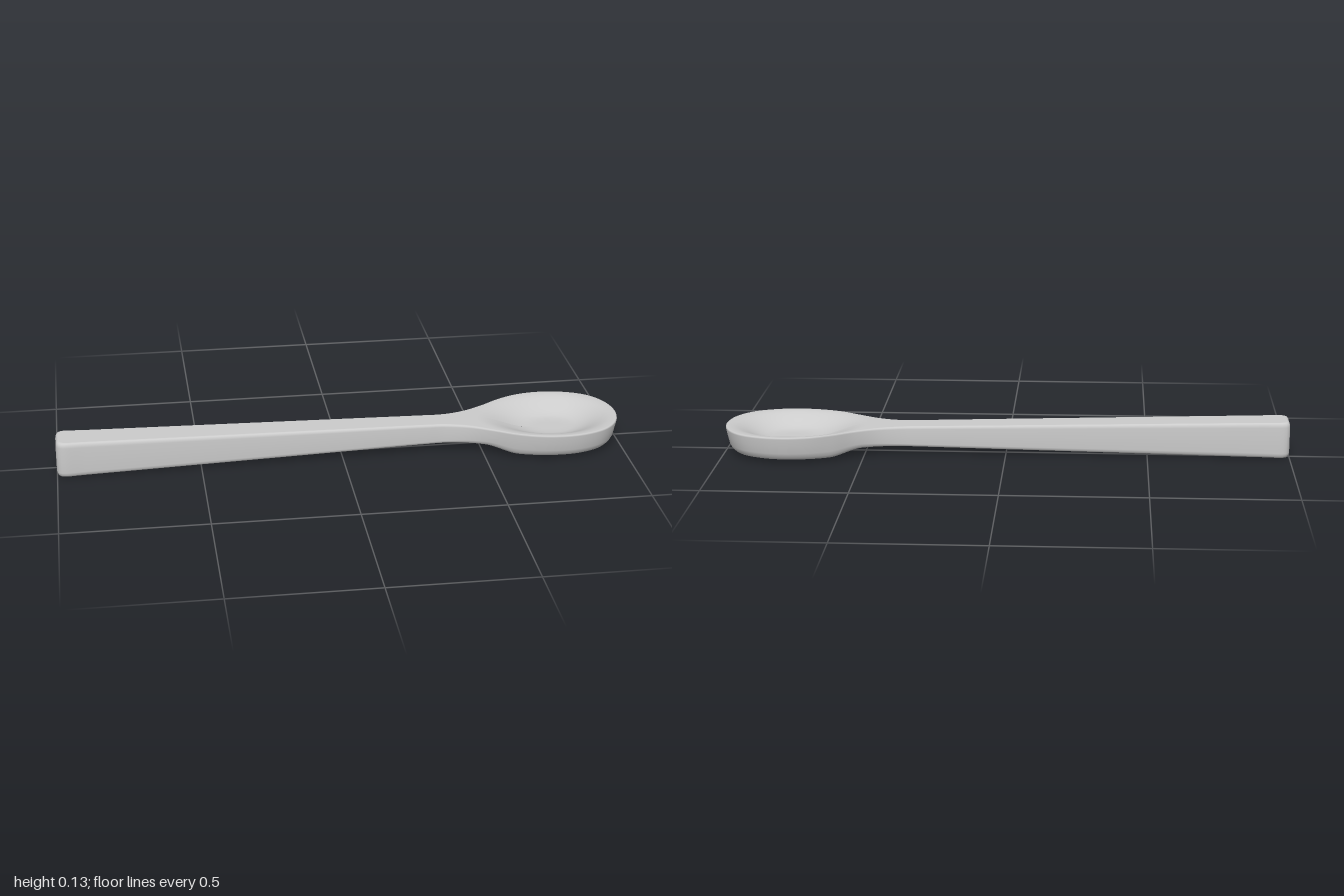
import * as THREE from 'three';

const { clamp, lerp, smoothstep, mapLinear } = THREE.MathUtils;

// Plan outline [x, z], running along the +z side and back along the -z side
const OUTLINE = [
  [-1, 0.03], [-1, 0.065], [-0.995, 0.08], [-0.98, 0.089], [-0.9, 0.087], [-0.5, 0.076],
  [0, 0.062], [0.3, 0.053], [0.37, 0.054], [0.45, 0.074], [0.53, 0.116], [0.6, 0.156],
  [0.68, 0.184], [0.765, 0.194], [0.85, 0.184], [0.93, 0.148], [0.98, 0.088], [1, 0],
  [0.98, -0.088], [0.93, -0.15], [0.85, -0.187], [0.765, -0.198], [0.68, -0.186],
  [0.6, -0.151], [0.53, -0.106], [0.45, -0.066], [0.37, -0.047], [0.3, -0.045],
  [0, -0.042], [-0.5, -0.037], [-0.9, -0.033], [-0.98, -0.033], [-0.995, -0.025], [-1, -0.01],
];

// Side profile from bottom to rim: [handle inset, handle height, bowl inset, bowl height]
const PROFILE = [
  [0, 0, 0, 0], [0.4, 0, 0.4, 0], [0.7, 0, 0.72, 0], [0.82, 0, 0.82, 0.01],
  [0.9, 0.02, 0.88, 0.06], [0.96, 0.06, 0.92, 0.16], [1, 0.14, 0.95, 0.32],
  [1, 0.5, 0.975, 0.62], [1, 0.87, 1, 0.93], [0.96, 0.95, 0.995, 0.98],
  [0.9, 0.985, 0.985, 1], [0.83, 1, 0.965, 1],
];
// Insets of the rings that close the top face
const TOP = [0.92, 0.86, 0.8, 0.73, 0.66, 0.58, 0.5, 0.4, 0.3, 0.15, 0];

const bowlBlend = x => smoothstep(x, 0.34, 0.62);
const underside = x => lerp(mapLinear(x, -1, 0.5, 0, 0.031), 0.009, smoothstep(x, 0.5, 0.62));
const topLine = x => x < 0.4 ? mapLinear(x, -1, 0.4, 0.13, 0.1) : mapLinear(x, 0.4, 1, 0.1, 0.096);

// Hollow of the bowl, egg-shaped and longer towards the handle
function hollow(x, z) {
  const dx = (x - 0.77) / (x < 0.77 ? 0.28 : 0.22);
  return 0.048 * (1 - smoothstep(Math.hypot(dx, z / 0.188), 0.3, 1));
}

// Point moved from the centre line of the spoon towards its outline
function inset(p, s) {
  const cx = clamp(p.x, -0.94, 0.77);
  const cz = cx < 0.36 ? mapLinear(cx, -1, 0.36, 0.028, 0.003) : 0.003 * (1 - smoothstep(cx, 0.36, 0.6));
  return [lerp(cx, p.x, s), lerp(cz, p.z, s)];
}

function spoonGeometry(n = 400) {
  const curve = new THREE.CatmullRomCurve3(
    OUTLINE.map(([x, z]) => new THREE.Vector3(x, 0, z)), true, 'centripetal');
  curve.arcLengthDivisions = 1000;
  const pts = curve.getSpacedPoints(n).slice(0, n);
  const pos = [], index = [];

  // Underside, wall and rim
  for (const [hs, ht, bs, bt] of PROFILE) {
    for (const p of pts) {
      const b = bowlBlend(p.x);
      const [x, z] = inset(p, lerp(hs, bs, b));
      const t = lerp(ht, bt, b);
      const top = topLine(x) - (t === 1 ? hollow(x, z) : 0);
      pos.push(x, lerp(underside(x), top, t), z);
    }
  }
  // Top face with the hollow
  for (const s of TOP) {
    for (const p of pts) {
      const k = lerp(0.83, 0.965, bowlBlend(p.x));
      const [x, z] = inset(p, s / 0.965 * k);
      pos.push(x, topLine(x) - hollow(x, z), z);
    }
  }
  const rings = PROFILE.length + TOP.length;
  for (let j = 0; j < rings - 1; j++) {
    for (let i = 0; i < n; i++) {
      const a = j * n + i, b = j * n + (i + 1) % n;
      index.push(a, b, b + n, a, b + n, a + n);
    }
  }
  const g = new THREE.BufferGeometry();
  g.setAttribute('position', new THREE.Float32BufferAttribute(pos, 3));
  g.setIndex(index);
  g.computeVertexNormals();
  return g;
}

export function createModel() {
  const group = new THREE.Group();
  group.name = 'spoon';
  const body = new THREE.Mesh(spoonGeometry(), new THREE.MeshStandardMaterial({ color: 0xcccccc }));
  body.name = 'handleAndBowl';
  group.add(body);
  return group;
}
